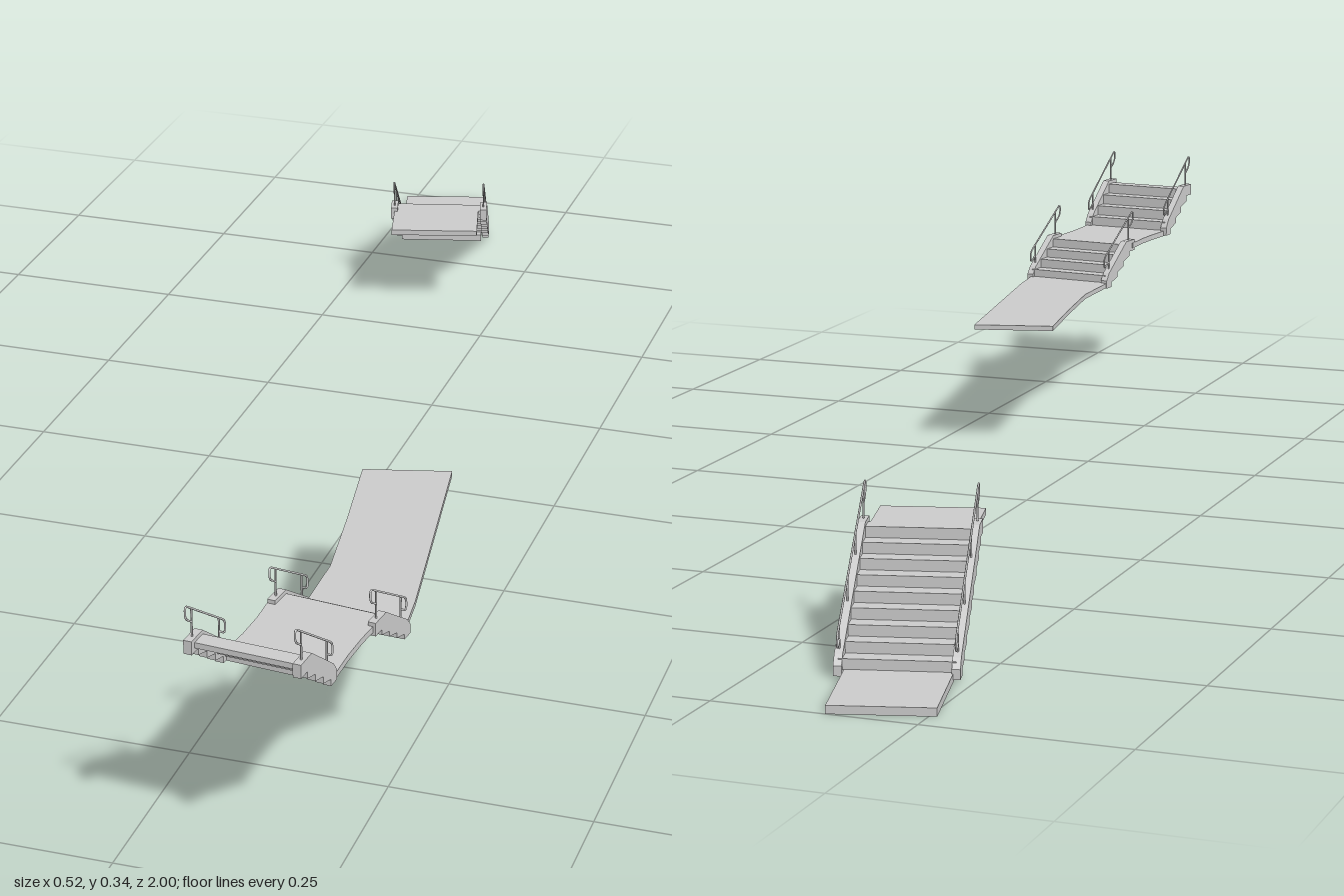
import * as THREE from 'three';

const mat = new THREE.MeshStandardMaterial({ color: 0xcccccc, side: THREE.DoubleSide });

function mesh(name, geo, parent) {
  const m = new THREE.Mesh(geo, mat);
  m.name = name;
  parent.add(m);
  return m;
}

// Flat slab from plan corners [x, z], between two heights
function slab(name, corners, y0, y1, parent) {
  const shape = new THREE.Shape(corners.map(([x, z]) => new THREE.Vector2(x, -z)));
  const geo = new THREE.ExtrudeGeometry(shape, { depth: y1 - y0, bevelEnabled: false });
  geo.rotateX(-Math.PI / 2).translate(0, y0, 0);
  return mesh(name, geo, parent);
}

// Side profile [z, y] extruded across x, centred on cx
function acrossX(name, profile, width, cx, parent) {
  const shape = new THREE.Shape(profile.map(([z, y]) => new THREE.Vector2(z, y)));
  const geo = new THREE.ExtrudeGeometry(shape, { depth: width, bevelEnabled: false });
  geo.rotateY(-Math.PI / 2).translate(cx + width / 2, 0, 0);
  return mesh(name, geo, parent);
}

// Tube handrail with hooked ends and upright posts, following the slope
function handrail(x, run, rise, posts, parent) {
  const rail = new THREE.Group();
  rail.name = 'handrail';
  parent.add(rail);
  const slope = rise / run;
  const at = (z, h) => new THREE.Vector3(x, z * slope + h, z);
  const top = 0.043, low = 0.026, a = 0.012, b = run - 0.004;
  const path = new THREE.CurvePath();
  const line = (p, q) => path.add(new THREE.LineCurve3(p, q));
  const bend = (p, c, q) => path.add(new THREE.QuadraticBezierCurve3(p, c, q));
  const z0 = -0.004, z1 = run + 0.012, r = 0.007;
  line(at(a, low), at(z0 + r, low));
  bend(at(z0 + r, low), at(z0, low), at(z0, low + r));
  line(at(z0, low + r), at(z0, top - r));
  bend(at(z0, top - r), at(z0, top), at(z0 + r, top));
  line(at(z0 + r, top), at(z1 - r, top));
  bend(at(z1 - r, top), at(z1, top), at(z1, top - r));
  line(at(z1, top - r), at(z1, low + r));
  bend(at(z1, low + r), at(z1, low), at(z1 - r, low));
  line(at(z1 - r, low), at(b, low));
  mesh('railTube', new THREE.TubeGeometry(path, 90, 0.0013, 6), rail);
  for (let i = 0; i < posts; i++) {
    const z = a + ((b - a) * i) / (posts - 1);
    const post = mesh('railPost', new THREE.CylinderGeometry(0.0012, 0.0012, top, 6), rail);
    post.position.copy(at(z, top / 2));
  }
}

// Flight rising towards local +z: folded steps, two stringers, two handrails
function flight(name, { x, y, z, yaw, run, rise, steps, width, posts }, parent) {
  const g = new THREE.Group();
  g.name = name;
  g.position.set(x, y, z);
  g.rotation.y = yaw;
  parent.add(g);
  const dz = run / steps, dy = rise / steps, t = 0.007, side = 0.01;

  // Folded treads and risers
  const over = [], under = [], teeth = [];
  for (let i = 0; i < steps; i++) {
    over.push([i * dz, i * dy], [i * dz, (i + 1) * dy]);
    under.push([i * dz + t, i * dy], [i * dz + t, (i + 1) * dy - t]);
    teeth.push([i * dz + 0.012, i * dy - 0.006], [i * dz + 0.012, (i + 1) * dy - 0.012]);
  }
  over.push([run, rise]);
  under.push([run, rise - t]);
  acrossX('steps', [...over, ...under.reverse()], width - side, 0, g);

  // Stringers: straight above, toothed below, level at both ends
  const profile = [
    [-0.005, -0.006], [-0.005, 0.006], [0.004, dy + 0.004],
    [run - dz, rise + 0.005], [run + 0.008, rise + 0.005], [run + 0.008, rise - 0.012],
    ...teeth.reverse(),
  ];
  for (const s of [-1, 1]) {
    const cx = s * (width - side) / 2;
    acrossX('stringer', profile, side, cx, g);
    handrail(cx, run, rise, posts, g);
  }
  return g;
}

export function createModel() {
  const model = new THREE.Group();
  model.name = 'walkwayStairs';

  // Rear walkway: low landing, long flight, high landing
  const rear = new THREE.Group();
  rear.name = 'rearWalkway';
  model.add(rear);
  slab('lowLanding', [[-0.259, -0.966], [-0.221, -0.815], [-0.099, -0.847], [-0.14, -1]], 0, 0.01, rear);
  slab('highLanding', [[-0.178, -0.64], [-0.156, -0.553], [-0.032, -0.587], [-0.054, -0.672]], 0.123, 0.131, rear);
  flight('longFlight', {
    x: -0.163, y: 0.009, z: -0.85, yaw: 0.256, run: 0.208, rise: 0.122, steps: 9, width: 0.146, posts: 4,
  }, rear);

  // Front walkway: long bent path, flight, landing, flight
  const front = new THREE.Group();
  front.name = 'frontWalkway';
  model.add(front);
  slab('longPath', [
    [0.077, 0.312], [0.1, 0.445], [0.119, 0.569], [0.12, 0.675],
    [0.251, 0.69], [0.243, 0.62], [0.188, 0.283],
  ], 0.174, 0.181, front);
  flight('lowerFlight', {
    x: 0.187, y: 0.179, z: 0.68, yaw: -0.12, run: 0.085, rise: 0.052, steps: 4, width: 0.138, posts: 2,
  }, front);
  slab('middleLanding', [
    [0.107, 0.755], [0.107, 0.8], [0.104, 0.84], [0.097, 0.89],
    [0.233, 0.904], [0.234, 0.85], [0.237, 0.81], [0.242, 0.77],
  ], 0.223, 0.231, front);
  flight('upperFlight', {
    x: 0.164, y: 0.23, z: 0.892, yaw: -0.09, run: 0.085, rise: 0.059, steps: 4, width: 0.142, posts: 2,
  }, front);

  return model;
}
